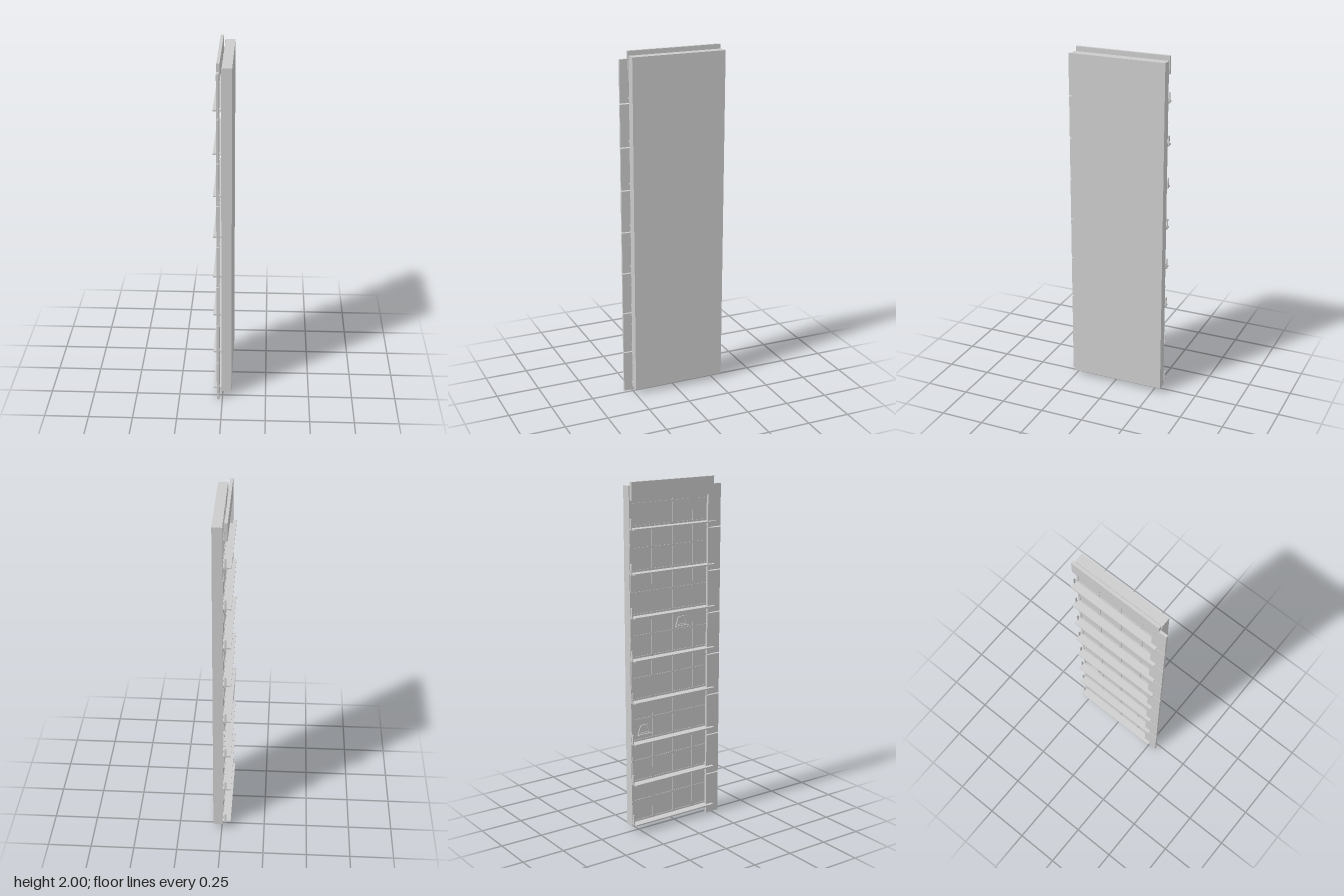
import * as THREE from 'three';

export function createModel() {
  const group = new THREE.Group();
  group.name = 'wallPanel';
  const mat = new THREE.MeshStandardMaterial({ color: 0xcccccc, flatShading: true });

  // Box given by its limits on each axis
  function box(name, x0, x1, y0, y1, z0, z1) {
    const mesh = new THREE.Mesh(new THREE.BoxGeometry(x1 - x0, y1 - y0, z1 - z0), mat);
    mesh.position.set((x0 + x1) / 2, (y0 + y1) / 2, (z0 + z1) / 2);
    mesh.name = name;
    group.add(mesh);
    return mesh;
  }

  const back = -0.297, front = 0.25, face = -0.004;
  const pitch = 0.2425, firstRail = 0.05;

  // Thick slab
  box('slab', face, 0.05, 0.028, 1.976, back, front);

  // Shallow grid on the inner face
  for (const z of [-0.288, -0.15, -0.01, 0.13, 0.243]) {
    box('gridUpright', face - 0.003, face, 0.03, 1.974, z - 0.006, z + 0.006);
  }
  for (let i = 0; i < 16; i++) {
    const y = firstRail + 0.01 + (i * pitch) / 2;
    box('gridCrossbar', face - 0.003, face, y - 0.005, y + 0.005, back, front);
  }

  // Horizontal rails, each with a small end tab, and the front edge strip
  for (let i = 0; i < 8; i++) {
    const y = firstRail + i * pitch;
    box('rail', -0.052, face, y - 0.004, y + 0.004, back, front);
    box('endTab', -0.027, -0.016, y - 0.005, y + 0.055, -0.3, -0.294);
    const bottom = i === 0 ? 0 : i * 0.245 + 0.003;
    box('edgeStrip', -0.032, -0.018, bottom, (i + 1) * 0.245 - 0.003, 0.21, 0.297);
  }

  // Board along the top
  box('topBoard', -0.032, -0.015, 1.9, 2, back, front);

  // Two tapered clips with an opening and a base ledge
  for (const [y, z] of [[1.17, 0.05], [0.575, -0.21]]) {
    const shape = new THREE.Shape([
      new THREE.Vector2(-0.045, 0), new THREE.Vector2(0.045, 0),
      new THREE.Vector2(0.025, 0.055), new THREE.Vector2(-0.025, 0.055),
    ]);
    shape.holes.push(new THREE.Path([
      new THREE.Vector2(-0.03, 0.01), new THREE.Vector2(-0.018, 0.045),
      new THREE.Vector2(0.018, 0.045), new THREE.Vector2(0.03, 0.01),
    ]));
    const clip = new THREE.Mesh(
      new THREE.ExtrudeGeometry(shape, { depth: 0.006, bevelEnabled: false }), mat);
    clip.name = 'clip';
    clip.rotation.y = -Math.PI / 2;
    clip.position.set(face, y, z);
    group.add(clip);
    box('clipLedge', -0.018, face, y - 0.003, y + 0.003, z - 0.045, z + 0.045);
  }

  return group;
}
